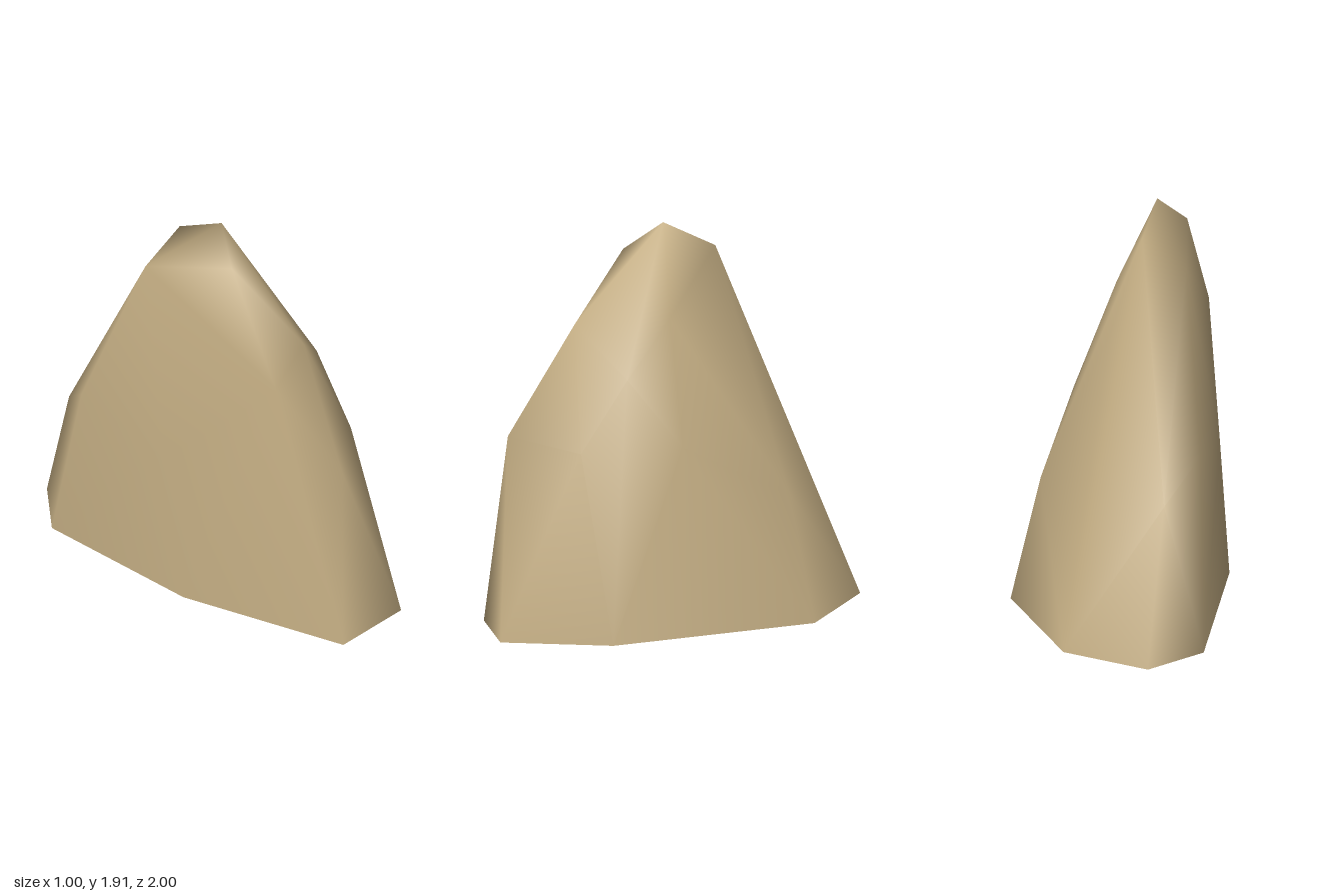
import * as THREE from 'three';
import { ConvexGeometry } from 'three/addons/geometries/ConvexGeometry.js';
import { mergeVertices } from 'three/addons/utils/BufferGeometryUtils.js';

const sandstone = new THREE.MeshStandardMaterial({ color: 0xc2ac82, side: THREE.DoubleSide });

// Eight corners of the slightly tilted base outline
const base = [
  [-0.3, 0.015, -1], [0.11, 0.02, -0.93], [0.5, 0.03, -0.46], [0.43, 0.03, 0.55],
  [0.15, 0.025, 1], [-0.23, 0.02, 0.95], [-0.46, 0, 0.13], [-0.505, 0, -0.75],
];

// Corners of the body, from the shoulders up to the peak
const body = [
  [-0.32, 0.71, -0.77], [0.36, 0.64, -0.39], [0.34, 0.91, 0.16], [0.2, 0.89, 0.61],
  [-0.15, 0.93, 0.84], [-0.43, 0.75, -0.02], [-0.44, 0.88, -0.55], [-0.26, 1.3, 0.53],
  [0.21, 1.22, 0.38], [0.03, 1.365, -0.35], [-0.07, 1.45, 0.53], [0.11, 1.48, 0.12],
  [0.01, 1.52, -0.2], [-0.3, 1.66, -0.23], [-0.21, 1.78, 0.22], [-0.09, 1.79, -0.21],
  [-0.1, 1.91, 0.06],
];

// Wrap the corners in a faceted skin, leave the underside open, then smooth the normals
function rockGeometry() {
  const points = [...base, ...body].map((p) => new THREE.Vector3(...p));
  const hull = new ConvexGeometry(points).getAttribute('position');
  const kept = [];
  for (let i = 0; i < hull.count; i += 3) {
    const corners = [i, i + 1, i + 2];
    if (corners.every((k) => hull.getY(k) < 0.05)) continue;
    for (const k of corners) kept.push(hull.getX(k), hull.getY(k), hull.getZ(k));
  }
  const shell = new THREE.BufferGeometry();
  shell.setAttribute('position', new THREE.Float32BufferAttribute(kept, 3));
  const smooth = mergeVertices(shell, 1e-4);
  smooth.computeVertexNormals();
  return smooth;
}

export function createModel() {
  sandstone.name = 'sandstone';
  const model = new THREE.Group();
  model.name = 'rock';
  const rock = new THREE.Mesh(rockGeometry(), sandstone);
  rock.name = 'rockShell';
  model.add(rock);
  return model;
}
